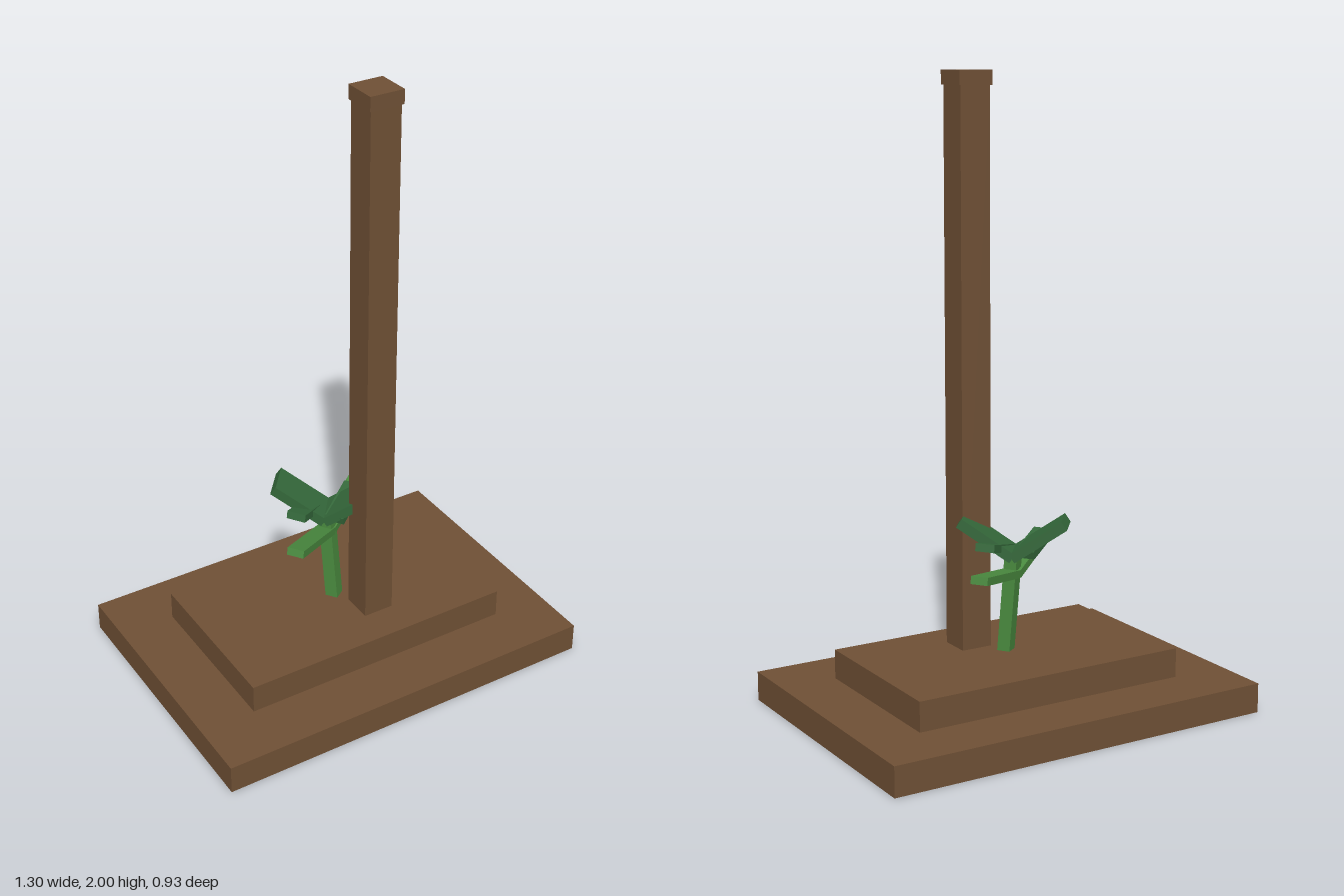
import * as THREE from 'three';

const wood = new THREE.MeshStandardMaterial({ name: 'brown wood', color: 0x6f5035 });
const lightGreen = new THREE.MeshStandardMaterial({ name: 'light green', color: 0x4a8b3f });
const darkGreen = new THREE.MeshStandardMaterial({ name: 'dark green', color: 0x34683a });

export function createModel() {
  const group = new THREE.Group();

  const add = (name, size, material) => {
    const mesh = new THREE.Mesh(new THREE.BoxGeometry(...size), material);
    mesh.name = name;
    group.add(mesh);
    return mesh;
  };

  // Upright box given by its size, centre and lowest height
  const block = (name, w, h, d, x, y, z) =>
    add(name, [w, h, d], wood).position.set(x, y + h / 2, z);

  // Slanted leaf whose width stays level, running from its root to its tip
  const leaf = (name, root, tip, width, thick, material) => {
    const a = new THREE.Vector3(...root), b = new THREE.Vector3(...tip);
    const along = b.clone().sub(a);
    const mesh = add(name, [along.length(), thick, width], material);
    along.normalize();
    const side = along.clone().cross(new THREE.Vector3(0, 1, 0)).normalize();
    const up = side.clone().cross(along);
    mesh.quaternion.setFromRotationMatrix(new THREE.Matrix4().makeBasis(along, up, side));
    mesh.position.copy(a).add(b).multiplyScalar(0.5);
  };

  // Stepped base and post with cap
  block('lowerStep', 1.3, 0.095, 0.93, 0, 0, 0);
  block('upperStep', 0.93, 0.095, 0.556, 0, 0.095, 0);
  block('post', 0.103, 1.77, 0.103, 0.073, 0.19, 0.107);
  block('postCap', 0.114, 0.045, 0.114, 0.073, 1.955, 0.107);

  // Stem, leaning slightly and turned about its axis
  const foot = new THREE.Vector3(0, 0.18, 0), head = new THREE.Vector3(-0.015, 0.5, -0.021);
  const lean = head.clone().sub(foot);
  const stem = add('stem', [0.042, lean.length(), 0.042], lightGreen);
  stem.position.copy(foot).add(head).multiplyScalar(0.5);
  stem.quaternion.setFromUnitVectors(new THREE.Vector3(0, 1, 0), lean.normalize());
  stem.rotateY(0.61);

  // Narrow lower leaves
  leaf('lowerLeafLeft', [-0.013, 0.443, -0.021], [0.196, 0.486, -0.167], 0.056, 0.025, lightGreen);
  leaf('lowerLeafRight', [-0.013, 0.443, -0.021], [-0.217, 0.514, 0.122], 0.056, 0.025, lightGreen);

  // Short middle leaves
  leaf('middleLeafLeft', [-0.02, 0.515, 0.034], [0.11, 0.55, -0.057], 0.064, 0.025, darkGreen);
  leaf('middleLeafRight', [-0.02, 0.515, -0.08], [-0.145, 0.555, 0.005], 0.064, 0.025, darkGreen);

  // Broad upper leaves
  leaf('upperLeafBack', [-0.015, 0.505, -0.025], [-0.142, 0.615, -0.128], 0.116, 0.032, darkGreen);
  leaf('upperLeafFront', [-0.015, 0.505, -0.025], [0.117, 0.615, 0.076], 0.116, 0.032, darkGreen);

  return group;
}
